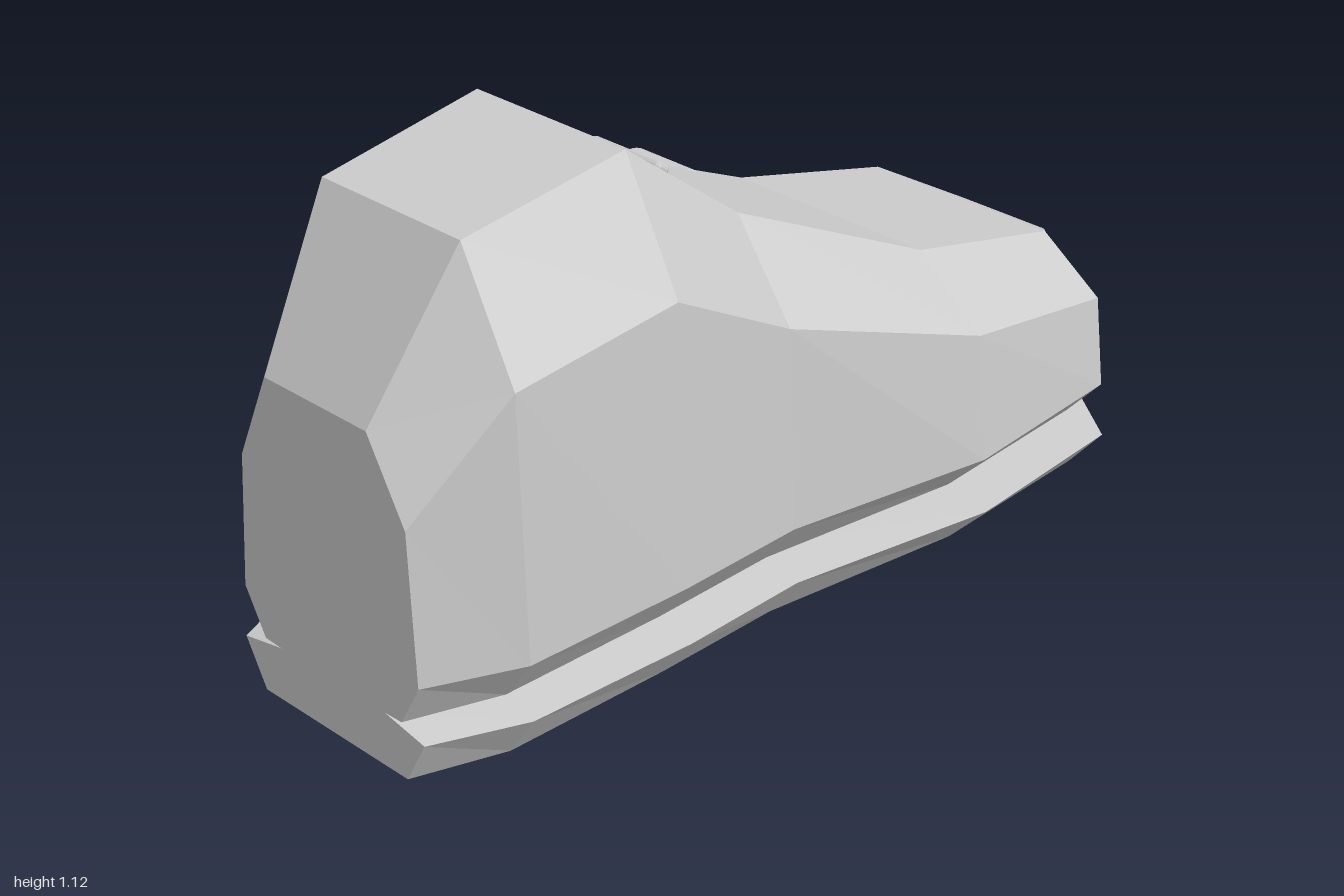
import * as THREE from 'three';
import { RoundedBoxGeometry } from 'three/addons/geometries/RoundedBoxGeometry.js';

// stations from heel (+z) to toe (-z):
// z, base, flange, widest, shoulder x, shoulder y, top x, top y
const STATIONS = [
  [1, 0.215, 0.27, 0.26, 0.245, 0.56, 0.147, 0.73],
  [0.8, 0.285, 0.355, 0.35, 0.33, 0.80, 0.195, 1.06],
  [0.4, 0.3, 0.38, 0.368, 0.345, 0.845, 0.207, 1.115],
  [0.09, 0.3, 0.375, 0.365, 0.345, 0.675, 0.2, 0.88],
  [-0.4, 0.37, 0.468, 0.457, 0.43, 0.51, 0.26, 0.65],
  [-0.84, 0.35, 0.437, 0.425, 0.4, 0.43, 0.245, 0.54],
  [-1, 0.175, 0.222, 0.215, 0.2, 0.36, 0.12, 0.45],
];

// closed cross-section, counter-clockwise seen from the front
function section([, base, flange, wide, shX, shY, topX, topY]) {
  const half = (drop, narrow) => [
    [base, 0], [flange, 0.102], [wide * 0.6, 0.124], [wide * 0.79, 0.126],
    [wide, 0.225], [shX - narrow, shY - drop], [topX, topY],
  ];
  const right = half(0, 0);
  const left = half(0.03, 0.008).reverse().map(([x, y]) => [-x, y]);
  return [...right, ...left].map(([x, y]) => new THREE.Vector2(x, y));
}

// skin the sections and close both ends
function shoeGeometry() {
  const rings = STATIONS.map(section);
  const n = rings[0].length;
  const positions = [];
  const index = [];
  rings.forEach((ring, i) => ring.forEach((p) => positions.push(p.x, p.y, STATIONS[i][0])));
  for (let i = 0; i < rings.length - 1; i++) {
    for (let j = 0; j < n; j++) {
      const k = (j + 1) % n;
      const a = i * n + j, b = i * n + k, c = a + n, d = b + n;
      index.push(a, c, b, b, c, d);
    }
  }
  const last = (rings.length - 1) * n;
  for (const [a, b, c] of THREE.ShapeUtils.triangulateShape(rings[0], [])) index.push(a, b, c);
  for (const [a, b, c] of THREE.ShapeUtils.triangulateShape(rings[rings.length - 1], [])) {
    index.push(last + a, last + c, last + b);
  }
  const geometry = new THREE.BufferGeometry();
  geometry.setAttribute('position', new THREE.Float32BufferAttribute(positions, 3));
  geometry.setIndex(index);
  return flat(geometry);
}

// separate the faces so every facet is flat
function flat(geometry) {
  const g = geometry.index ? geometry.toNonIndexed() : geometry;
  g.computeVertexNormals();
  return g;
}

export function createModel() {
  const group = new THREE.Group();
  const grey = new THREE.MeshStandardMaterial({ color: 0xcccccc });
  grey.name = 'light grey';

  const add = (name, geometry, x = 0, y = 0, z = 0) => {
    const mesh = new THREE.Mesh(geometry, grey);
    mesh.name = name;
    mesh.position.set(x, y, z);
    group.add(mesh);
    return mesh;
  };

  // upper and grooved sole in one skin
  add('shoeBody', shoeGeometry());

  // bevelled block on the outer side
  add('sideBlock', flat(new RoundedBoxGeometry(0.2, 0.385, 0.425, 1, 0.02)), -0.305, 0.5525, -0.01);

  // small bar lying on the instep slope
  const bar = add('instepBar', flat(new RoundedBoxGeometry(0.195, 0.036, 0.04, 1, 0.009)), 0, 0.966, 0.195);
  bar.rotation.x = -Math.atan2(0.235, -0.31) + Math.PI;
  bar.rotation.x = -Math.atan2(0.235, 0.31);

  return group;
}
